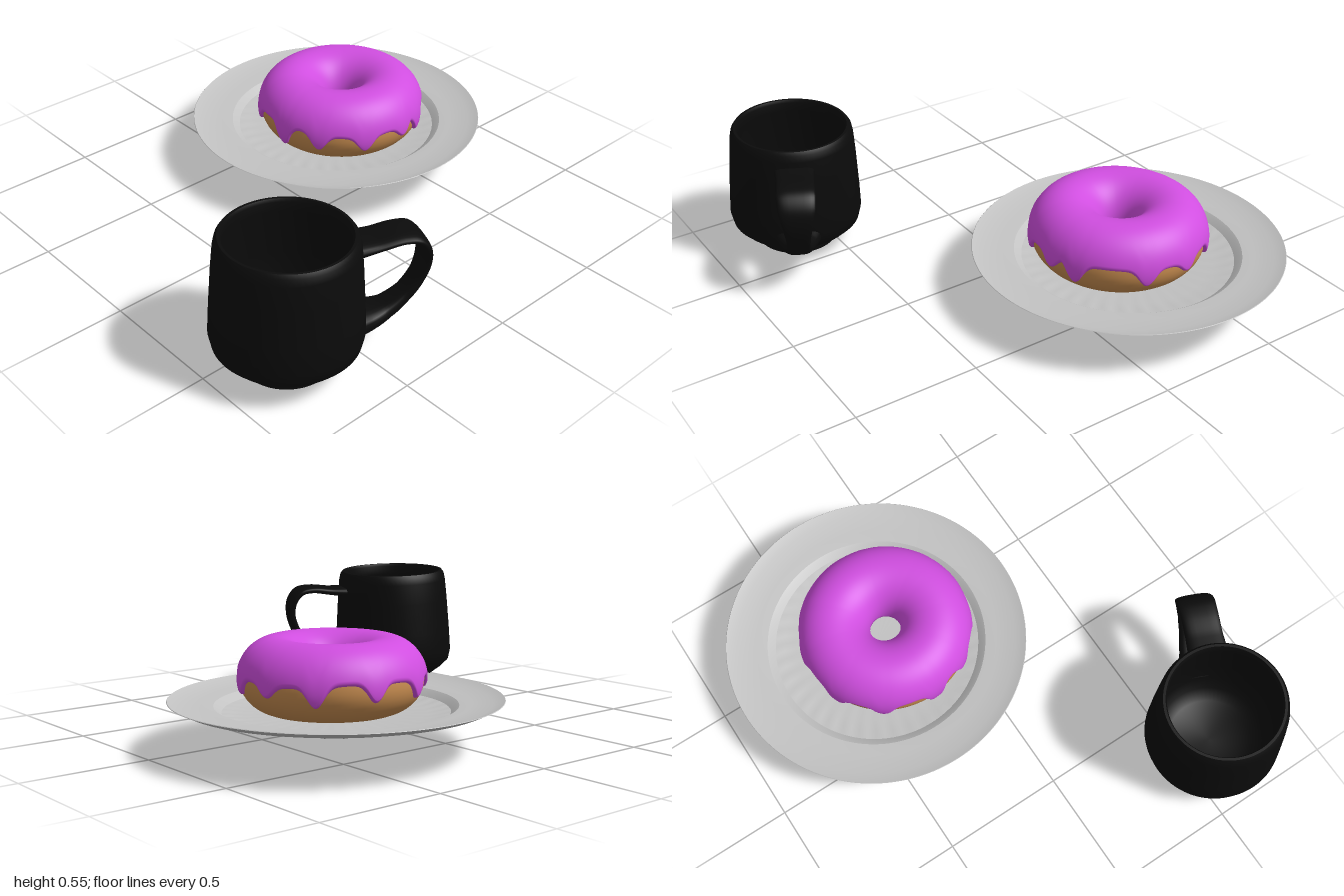
import * as THREE from 'three';
import { toCreasedNormals } from 'three/addons/utils/BufferGeometryUtils.js';

const material = (name, color) => {
  const m = new THREE.MeshStandardMaterial({ color });
  m.name = name;
  return m;
};

function addMesh(parent, name, geometry, mat) {
  const mesh = new THREE.Mesh(geometry, mat);
  mesh.name = name;
  parent.add(mesh);
  return mesh;
}

// Smooth surface from a rule p(i, j); either direction can wrap around
function surface(nu, nv, closeU, closeV, p) {
  const pos = [], index = [];
  const cols = closeV ? nv : nv + 1, rows = closeU ? nu : nu + 1;
  for (let i = 0; i < rows; i++) for (let j = 0; j < cols; j++) pos.push(...p(i, j));
  const at = (i, j) => (i % rows) * cols + (j % cols);
  for (let i = 0; i < nu; i++) for (let j = 0; j < nv; j++) {
    const a = at(i, j), b = at(i + 1, j), c = at(i + 1, j + 1), d = at(i, j + 1);
    index.push(a, b, c, a, c, d);
  }
  const g = new THREE.BufferGeometry();
  g.setAttribute('position', new THREE.Float32BufferAttribute(pos, 3));
  g.setIndex(index);
  g.computeVertexNormals();
  return g;
}

const lathe = (points, segments) =>
  new THREE.LatheGeometry(points.map(([x, y]) => new THREE.Vector2(x, y)), segments);

// Point on the doughnut ring, pushed outward by off
function ringPoint(theta, phi, off) {
  const r = 0.21 + (0.135 + off) * Math.cos(phi);
  const y = 0.265 + ((Math.sin(phi) > 0 ? 0.145 : 0.125) + off) * Math.sin(phi);
  return [r * Math.sin(theta), y, r * Math.cos(theta)];
}

// Drips: angle from the front in degrees, height of the lowest point
const DRIPS = [[4, 0.198], [32, 0.222], [64, 0.215], [95, 0.235], [114, 0.21], [160, 0.22],
  [190, 0.235], [222, 0.21], [258, 0.225], [294, 0.213], [327, 0.218]];

function dripAt(theta) {
  const deg = THREE.MathUtils.radToDeg(theta);
  const arch = 0.289 + 0.008 * Math.sin(3 * theta + 1);
  let edge = arch, bulge = 0;
  for (const [angle, low] of DRIPS) {
    const d = Math.abs(((deg - angle + 540) % 360) - 180);
    const k = Math.exp(-Math.pow(d / 6.5, 2));
    edge = Math.min(edge, arch - (arch - low) * k);
    bulge = Math.max(bulge, k);
  }
  return { edge, bulge };
}

function icingGeometry() {
  const nu = 264, nv = 44, lip = 6, lipArc = 0.12, inner = Math.PI + 0.25;
  return surface(nu, nv, true, false, (i, j) => {
    const theta = (i / nu) * Math.PI * 2;
    const { edge, bulge } = dripAt(theta);
    const dy = edge - 0.265;
    const start = Math.asin(dy / (dy > 0 ? 0.157 : 0.137));
    let phi, off = 0.012;
    if (j <= lip) {
      const k = (j / lip) * Math.PI / 2;
      phi = start + lipArc * (1 - Math.cos(k));
      off = -0.002 + 0.014 * Math.sin(k);
    } else {
      const from = start + lipArc;
      phi = from + (inner - from) * (j - lip) / (nv - lip);
      if (j === nv) off = -0.002;
    }
    off += 0.004 * bulge * Math.max(0, 1 - (phi - start) / 0.8) * Math.min(1, j / lip);
    return ringPoint(theta, phi, off);
  });
}

function plateGeometry() {
  const g = lathe([
    [0, 0.12], [0.3, 0.122], [0.38, 0.13], [0.425, 0.142], [0.46, 0.164], [0.5, 0.17],
    [0.58, 0.177], [0.625, 0.198], [0.623, 0.2], [0.58, 0.185], [0.5, 0.18], [0.455, 0.175],
    [0.445, 0.168], [0.425, 0.15], [0.39, 0.145], [0.34, 0.138], [0, 0.137],
  ], 144);
  // shallow fluting around the well
  const p = g.attributes.position;
  for (let i = 0; i < p.count; i++) {
    const r = Math.hypot(p.getX(i), p.getZ(i));
    if (r > 0.37 && r < 0.4) {
      p.setY(i, p.getY(i) + 0.002 * Math.cos(36 * Math.atan2(p.getX(i), p.getZ(i))));
    }
  }
  return toCreasedNormals(g, 0.35);
}

function mugGeometry() {
  return toCreasedNormals(lathe([
    [0, 0.005], [0.14, 0.005], [0.155, 0], [0.165, 0.006], [0.168, 0.035], [0.19, 0.042],
    [0.235, 0.075], [0.265, 0.105], [0.275, 0.15], [0.27, 0.25], [0.26, 0.4], [0.252, 0.49],
    [0.246, 0.518], [0.236, 0.532], [0.226, 0.532], [0.22, 0.52], [0.225, 0.48], [0.235, 0.3],
    [0.238, 0.15], [0.215, 0.1], [0.17, 0.065], [0, 0.06],
  ], 72), 0.7);
}

// Flat band swept along a loop: x out from the mug, y up, z across the band
function handleGeometry() {
  const path = new THREE.CatmullRomCurve3([
    [0.235, 0.445], [0.31, 0.452], [0.4, 0.464], [0.455, 0.455], [0.49, 0.415], [0.5, 0.355],
    [0.48, 0.28], [0.43, 0.21], [0.36, 0.16], [0.3, 0.142], [0.235, 0.14],
  ].map(([x, y]) => new THREE.Vector3(x, y, 0)));
  const widths = [0.08, 0.075, 0.075, 0.077, 0.073, 0.06, 0.048, 0.045, 0.055, 0.075, 0.1];
  const thick = [0.024, 0.018, 0.016, 0.016, 0.016, 0.016, 0.018, 0.022, 0.028, 0.035, 0.045];
  const sample = (list, t) => {
    const f = t * (list.length - 1), k = Math.min(Math.floor(f), list.length - 2);
    return THREE.MathUtils.lerp(list[k], list[k + 1], f - k);
  };
  const round = (c) => Math.sign(c) * Math.pow(Math.abs(c), 0.7);
  const nu = 60, nv = 24;
  return surface(nu, nv, false, true, (i, j) => {
    const t = i / nu, a = (j / nv) * Math.PI * 2;
    const c = path.getPoint(t), d = path.getTangent(t);
    const n = round(Math.cos(a)) * sample(thick, t);
    return [c.x + d.y * n, c.y - d.x * n, round(Math.sin(a)) * sample(widths, t)];
  });
}

export function createModel() {
  const glaze = material('pink icing', 0xd04ee0);
  const pastry = material('golden dough', 0xc88d50);
  const china = material('light grey china', 0xc2c2c2);
  const black = material('black ceramic', 0x0b0b0b);
  const model = new THREE.Group();
  model.name = 'doughnutAndMug';

  addMesh(model, 'plate', plateGeometry(), china).position.set(-0.305, 0, -0.375);

  const doughnut = new THREE.Group();
  doughnut.name = 'doughnut';
  doughnut.position.set(-0.262, 0, -0.362);
  addMesh(doughnut, 'dough', surface(96, 40, true, true, (i, j) =>
    ringPoint((i / 96) * Math.PI * 2, (j / 40) * Math.PI * 2, 0)), pastry);
  addMesh(doughnut, 'icing', icingGeometry(), glaze);
  model.add(doughnut);

  // Mug leans very slightly
  const mug = new THREE.Group();
  mug.name = 'mug';
  mug.position.set(0.628, 0.007, 0.727);
  mug.rotation.set(-0.04, 0, 0.018);
  addMesh(mug, 'mugBody', mugGeometry(), black);
  addMesh(mug, 'mugHandle', handleGeometry(), black).rotation.y = 1.152;
  model.add(mug);

  return model;
}
